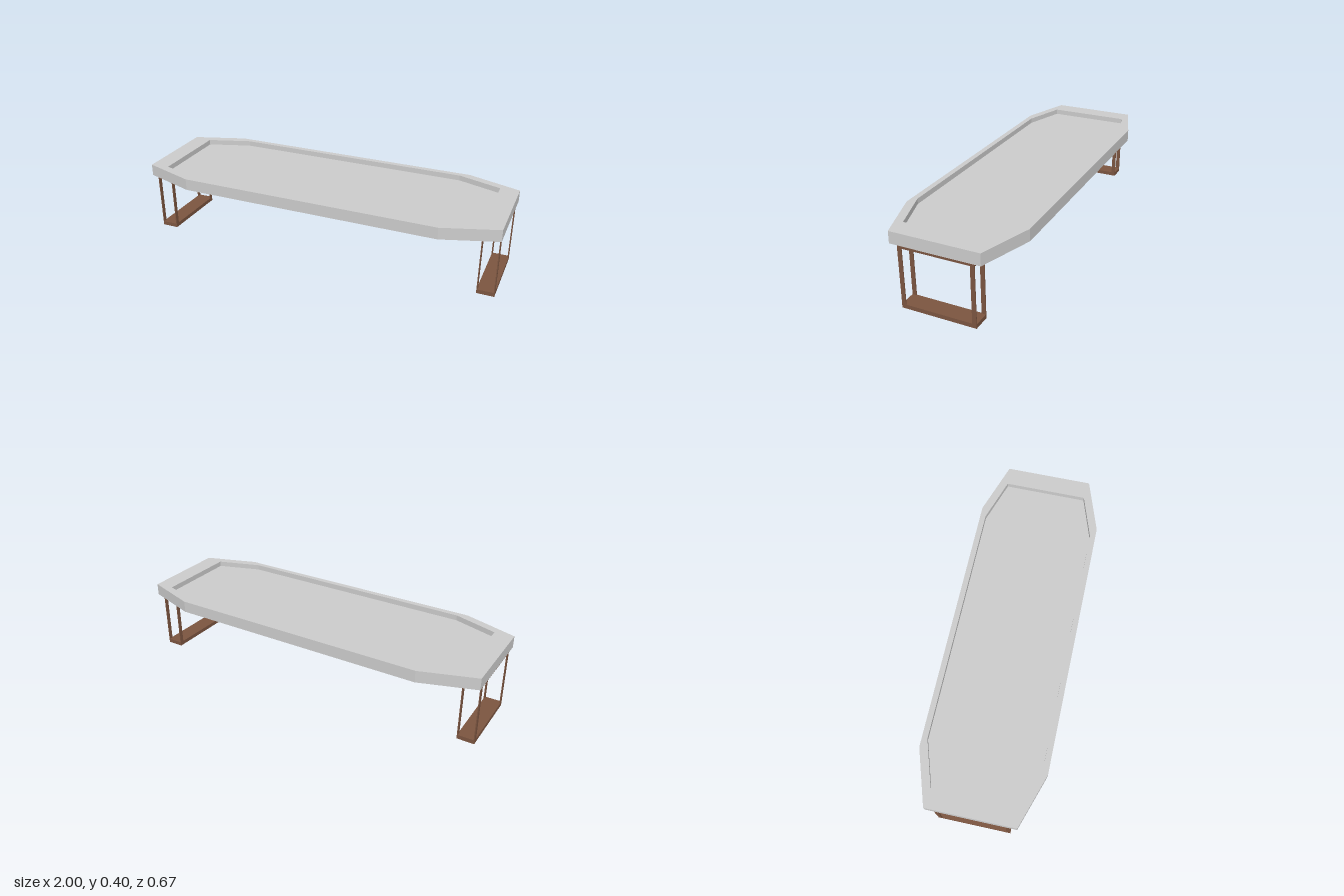
import * as THREE from 'three';

// Eight-cornered outline: straight ends of half-width ze at x, long sides at z starting at xs
const outline = (x, ze, xs, z) => [
  [x, -ze], [x, ze], [xs, z], [-xs, z], [-x, ze], [-x, -ze], [-xs, -z], [xs, -z],
].map(([a, b]) => new THREE.Vector2(a, b));

export function createModel() {
  const model = new THREE.Group();
  const grey = new THREE.MeshStandardMaterial({ color: 0xcccccc, flatShading: true });
  const brown = new THREE.MeshStandardMaterial({ color: 0x7b5540, flatShading: true });

  // Extrude an outline upwards from height y
  const slab = (name, shape, y, depth) => {
    const geo = new THREE.ExtrudeGeometry(shape, { depth, bevelEnabled: false });
    geo.rotateX(-Math.PI / 2).translate(0, y, 0);
    const mesh = new THREE.Mesh(geo, grey);
    mesh.name = name;
    model.add(mesh);
  };

  // Raised rim around a thin panel, recessed from above and below
  const inner = outline(0.898, 0.225, 0.66, 0.303);
  const rim = new THREE.Shape(outline(1, 0.237, 0.71, 0.333));
  rim.holes.push(new THREE.Path(inner));
  slab('topRim', rim, 0.34, 0.064);
  slab('topPanel', new THREE.Shape(inner), 0.37, 0.005);

  // Open box-frame legs under both ends
  const x0 = 0.9, x1 = 0.993, halfZ = 0.2, height = 0.34;
  const bar = 0.022, thin = 0.005, topRail = 0.017;
  const midX = (x0 + x1) / 2, width = x1 - x0;
  for (const side of [-1, 1]) {
    const leg = new THREE.Group();
    leg.name = side > 0 ? 'leftLeg' : 'rightLeg';
    const box = (name, w, h, d, x, y, z) => {
      const mesh = new THREE.Mesh(new THREE.BoxGeometry(w, h, d), brown);
      mesh.position.set(side * x, y, z);
      mesh.name = name;
      leg.add(mesh);
    };
    box('footPlate', width, bar, 2 * halfZ, midX, bar / 2, 0);
    const postHeight = height - bar - topRail;
    for (const x of [x0 + thin / 2, x1 - thin / 2]) {
      box('topRail', thin, topRail, 2 * halfZ, x, height - topRail / 2, 0);
      for (const s of [-1, 1])
        box('post', thin, postHeight, bar, x, bar + postHeight / 2, s * (halfZ - bar / 2));
    }
    // Short bars joining the two top rails
    for (const s of [-1, 1])
      box('crossBar', width - 2 * thin, topRail, bar, midX, height - topRail / 2, s * (halfZ - bar / 2));
    model.add(leg);
  }
  return model;
}
